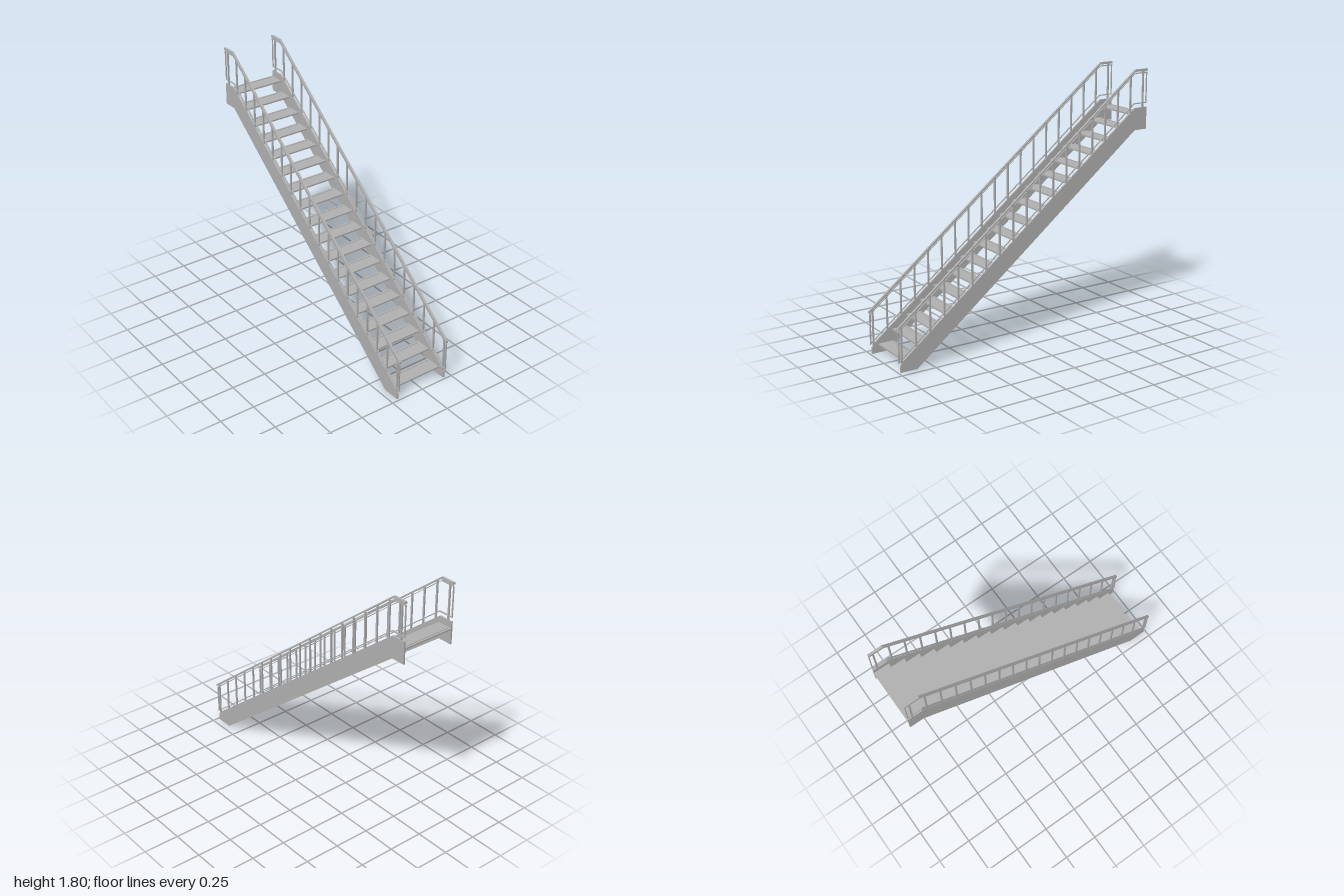
import * as THREE from 'three';

const STEPS = 18, RUN = 0.1075, RISE = 0.0838;

export function createModel() {
  const group = new THREE.Group();
  const steel = new THREE.MeshStandardMaterial({ color: 0xb0b0b0 });
  steel.name = 'galvanised grey';

  function add(name, geometry, x, y, z) {
    const mesh = new THREE.Mesh(geometry, steel);
    mesh.name = name;
    mesh.position.set(x, y, z);
    group.add(mesh);
  }

  // Side profiles are [z, y] outlines, extruded across x about the centre
  const toPoints = (outline) => outline.map(([z, y]) => new THREE.Vector2(-z, y));
  function sidePlate(outline, width, hole) {
    const shape = new THREE.Shape(toPoints(outline));
    if (hole) shape.holes.push(new THREE.Path(toPoints(hole)));
    const geometry = new THREE.ExtrudeGeometry(shape, { depth: width, bevelEnabled: false });
    return geometry.translate(0, 0, -width / 2).rotateY(Math.PI / 2);
  }

  const stringer = sidePlate([
    [0.985, 0], [0.861, 0], [-0.9, 1.376], [-1, 1.376],
    [-1, 1.532], [-0.896, 1.532], [0.965, 0.075], [0.985, 0.045],
  ], 0.012);

  const handrail = sidePlate([
    [1, 0.288], [-0.893, 1.785], [-1, 1.785],
    [-1, 1.8], [-0.896, 1.8], [1, 0.304],
  ], 0.016);

  // Slim closed frame carried between the posts
  const frame = sidePlate([
    [0.997, 0.065], [-0.893, 1.559], [-1, 1.559],
    [-1, 1.777], [-0.896, 1.777], [0.997, 0.28],
  ], 0.008, [
    [0.988, 0.08], [-0.891, 1.566], [-0.994, 1.566],
    [-0.994, 1.77], [-0.894, 1.77], [0.988, 0.28],
  ]);

  for (const [label, side] of [['left', 1], ['right', -1]]) {
    add(label + 'Stringer', stringer, side * 0.196, 0, 0);
    add(label + 'Handrail', handrail, side * 0.196, 0, 0);
    add(label + 'RailFrame', frame, side * 0.196, 0, 0);

    // Posts from the stringer up to the handrail, one per step
    for (let i = 0; i <= STEPS; i++) {
      const z = 0.972 - i * 0.1077;
      const bottom = Math.min(1.525, 0.82 - z * 0.783);
      const top = Math.min(1.788, 1.083 - z * 0.79);
      add(label + 'Post', new THREE.BoxGeometry(0.01, top - bottom, 0.011),
        side * 0.196, (top + bottom) / 2, z);
    }
  }

  // Open treads, each with a slim strip along its back
  const tread = new THREE.BoxGeometry(0.382, 0.011, 0.112);
  const strip = new THREE.BoxGeometry(0.35, 0.004, 0.006);
  for (let i = 0; i < STEPS; i++) {
    const y = 0.058 + i * RISE;
    const front = 0.937 - i * RUN;
    add('tread', tread, 0, y, front - 0.056);
    add('treadStrip', strip, 0, y + 0.007, front - 0.096);
  }
  return group;
}
